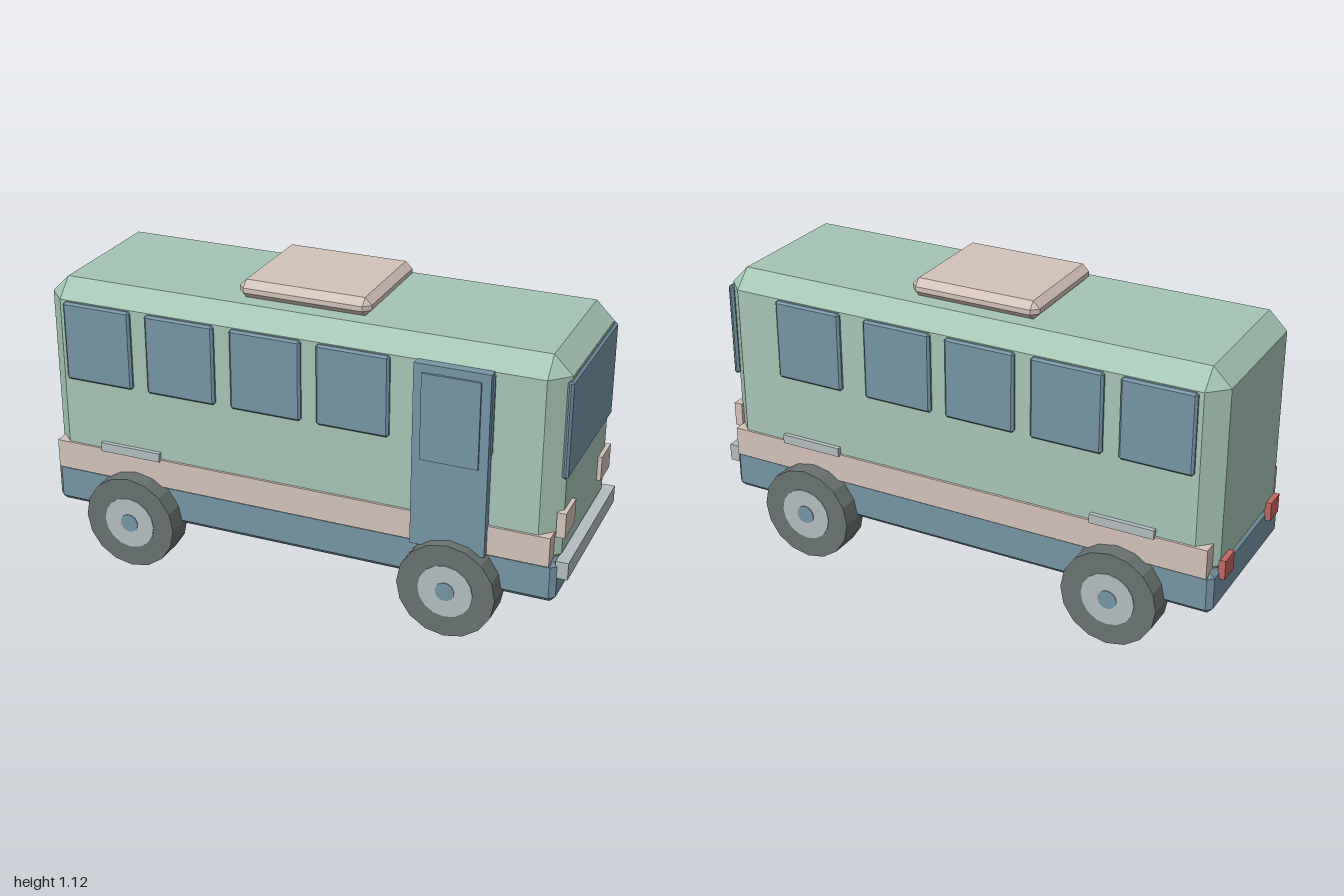
import * as THREE from 'three';
import { ConvexGeometry } from 'three/addons/geometries/ConvexGeometry.js';

const paint = (name, color) => {
  const m = new THREE.MeshStandardMaterial({ color });
  m.name = name;
  return m;
};

// Box between two corners with every edge cut at 45 degrees by c
function chamferBox([x0, y0, z0], [x1, y1, z1], c) {
  const half = [(x1 - x0) / 2, (y1 - y0) / 2, (z1 - z0) / 2];
  const points = [];
  for (const sx of [-1, 1]) for (const sy of [-1, 1]) for (const sz of [-1, 1]) {
    for (let axis = 0; axis < 3; axis++) {
      const h = half.map((v, i) => (i === axis ? v : v - c));
      points.push(new THREE.Vector3(sx * h[0], sy * h[1], sz * h[2]));
    }
  }
  return new ConvexGeometry(points).translate((x0 + x1) / 2, (y0 + y1) / 2, (z0 + z1) / 2);
}

function plainBox([x0, y0, z0], [x1, y1, z1]) {
  return new THREE.BoxGeometry(x1 - x0, y1 - y0, z1 - z0)
    .translate((x0 + x1) / 2, (y0 + y1) / 2, (z0 + z1) / 2);
}

export function createModel() {
  const green = paint('body green', 0xa5c5b5);
  const blue = paint('slate blue', 0x7595a4);
  const beige = paint('warm beige', 0xd2c2b9);
  const grey = paint('light grey', 0xb2bcbe);
  const rubber = paint('tyre grey', 0x687270);
  const red = paint('lamp red', 0xc2665f);

  const bus = new THREE.Group();
  bus.name = 'bus';
  const add = (name, geometry, material, parent = bus) => {
    const mesh = new THREE.Mesh(geometry, material);
    mesh.name = name;
    parent.add(mesh);
    return mesh;
  };
  const box = (name, a, b, material, c = 0) =>
    add(name, c ? chamferBox(a, b, c) : plainBox(a, b), material);

  // Shell, lower skirt and belt
  box('body', [-0.98, 0.27, -0.326], [0.962, 1.06, 0.326], green, 0.067);
  box('skirt', [-0.98, 0.17, -0.324], [0.962, 0.33, 0.324], blue, 0.02);
  box('belt', [-0.96, 0.318, -0.335], [0.94, 0.428, 0.335], beige);
  box('roofUnit', [-0.26, 1.057, -0.218], [0.235, 1.125, 0.218], beige, 0.025);

  // Side windows and trim rails, mirrored
  for (const s of [-1, 1]) {
    const side = s > 0 ? 'Right' : 'Left';
    for (const x of [-0.762, -0.433, -0.103, 0.223, 0.59]) {
      const z = [s * 0.318, s * 0.342].sort((a, b) => a - b);
      box('window' + side, [x - 0.134, 0.69, z[0]], [x + 0.134, 0.99, z[1]], blue, 0.008);
    }
    for (const x of [-0.65, 0.6]) {
      const z = [s * 0.325, s * 0.343].sort((a, b) => a - b);
      box('rail' + side, [x - 0.12, 0.422, z[0]], [x + 0.12, 0.456, z[1]], grey);
    }
  }

  // Entry door with its window
  box('door', [0.45, 0.318, 0.32], [0.72, 0.995, 0.36], blue);
  box('doorWindow', [0.481, 0.648, 0.355], [0.688, 0.965, 0.369], blue);

  // Driving end (+x): windshield, lamps, bumper; tail lamps at -x
  box('windshield', [0.95, 0.628, -0.284], [0.972, 0.982, 0.284], blue, 0.008);
  box('bumper', [0.955, 0.265, -0.305], [1, 0.33, 0.305], grey);
  for (const s of [-1, 1]) {
    const head = s * 0.228, tail = s * 0.222;
    box('headlight', [0.945, 0.412, head - 0.06], [0.977, 0.505, head + 0.06], beige);
    box('tailLight', [-1, 0.288, tail - 0.041], [-0.975, 0.36, tail + 0.041], red);
  }

  // Wheels: faceted tyre, hub and cap
  const disc = (r, depth) => {
    const g = new THREE.CylinderGeometry(r, r, depth, 16).rotateX(Math.PI / 2).toNonIndexed();
    g.computeVertexNormals();
    return g;
  };
  const tyre = disc(0.179, 0.114), hub = disc(0.1, 0.12), cap = disc(0.035, 0.126);
  for (const x of [-0.634, 0.598]) for (const s of [-1, 1]) {
    const wheel = new THREE.Group();
    wheel.name = 'wheel';
    wheel.position.set(x, 0.179, s * 0.342);
    add('tyre', tyre, rubber, wheel);
    add('hub', hub, grey, wheel);
    add('hubCap', cap, blue, wheel);
    bus.add(wheel);
  }
  return bus;
}
